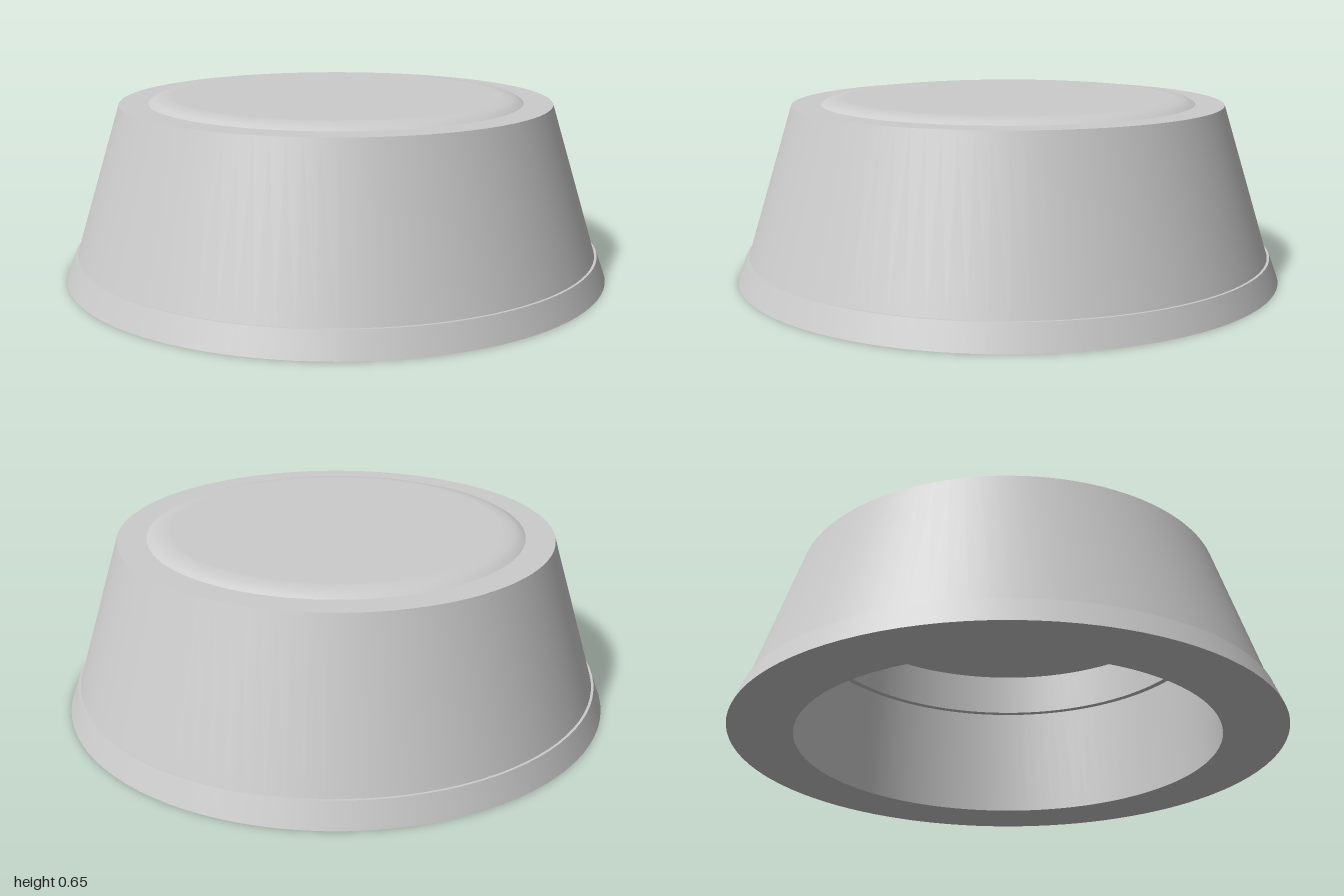
import * as THREE from 'three';

const SEGMENTS = 96;

export function createModel() {
  const group = new THREE.Group();
  group.name = 'hollowTaperedBase';
  const grey = new THREE.MeshStandardMaterial({ color: 0xcccccc });
  grey.name = 'light grey';

  // Each section is revolved on its own, so the edges between sections stay sharp.
  // Points run up the outside to the axis, then from the axis down the inside.
  const sections = {
    flaredSkirt: [[1, 0], [0.967, 0.088]],
    skirtStep: [[0.967, 0.088], [0.958, 0.088]],
    taperedWall: [[0.958, 0.088], [0.79, 0.633]],
    topRim: [[0.79, 0.633], [0.685, 0.633]],
    raisedTop: [[0.685, 0.633], [0.668, 0.643], [0.647, 0.65], [0.615, 0.654], [0.6, 0.654], [0, 0.654]],
    innerCeiling: [[0, 0.61], [0.745, 0.61]],
    upperInnerWall: [[0.745, 0.61], [0.745, 0.44]],
    innerLedge: [[0.745, 0.44], [0.77, 0.44]],
    lowerInnerWall: [[0.77, 0.44], [0.77, 0]],
    bottomRing: [[0.77, 0], [1, 0]],
  };

  for (const [name, points] of Object.entries(sections)) {
    const profile = points.map(([r, y]) => new THREE.Vector2(r, y));
    const mesh = new THREE.Mesh(new THREE.LatheGeometry(profile, SEGMENTS), grey);
    mesh.name = name;
    group.add(mesh);
  }
  return group;
}
